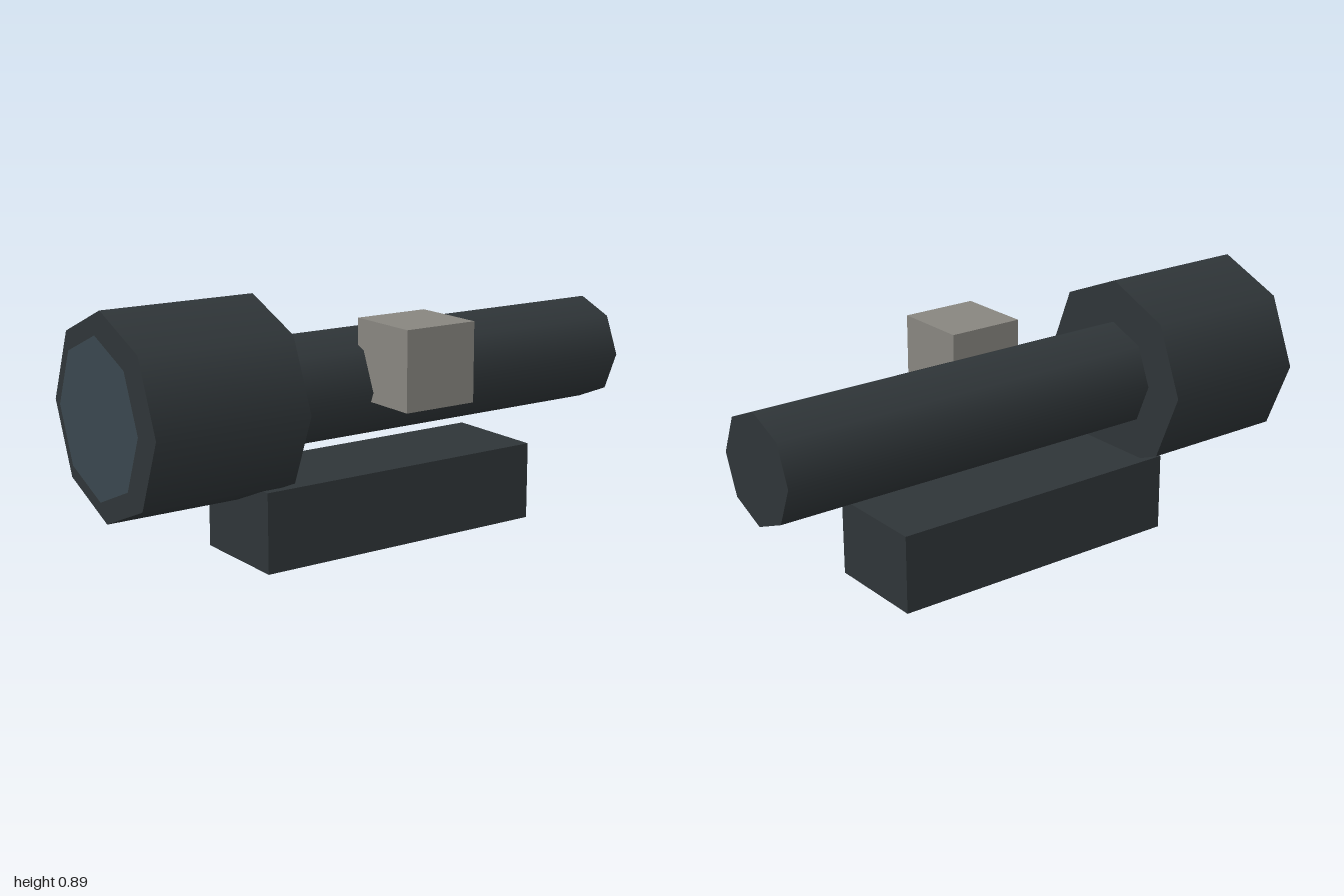
import * as THREE from 'three';

const SIDES = 8;
const AXIS_X = -0.018;
const AXIS_Y = 0.548;

export function createModel() {
  const group = new THREE.Group();
  const dark = new THREE.MeshStandardMaterial({ color: 0x2f3538 });
  const glass = new THREE.MeshStandardMaterial({ color: 0x3a474f, side: THREE.DoubleSide });
  const grey = new THREE.MeshStandardMaterial({ color: 0x888680 });

  const add = (name, geometry, material, x, y, z) => {
    const mesh = new THREE.Mesh(geometry, material);
    mesh.name = name;
    mesh.position.set(x, y, z);
    group.add(mesh);
  };

  // Eight-sided tube along z, smooth round its wall
  const addTube = (name, radius, zBack, zFront) => {
    const geometry = new THREE.CylinderGeometry(radius, radius, zFront - zBack, SIDES);
    geometry.rotateX(Math.PI / 2);
    add(name, geometry, dark, AXIS_X, AXIS_Y, (zBack + zFront) / 2);
  };

  // Long body and wide head
  addTube('barrel', 0.19, -1, 0.5);
  addTube('head', 0.34, 0.435, 0.98);

  // Flat lens just ahead of the head
  add('lens', new THREE.CircleGeometry(0.265, SIDES), glass, AXIS_X, AXIS_Y, 1);

  // Mounting block below
  add('mount', new THREE.BoxGeometry(0.375, 0.274, 1.09), dark, AXIS_X, 0.137, -0.04);

  // Cube knob on the left side
  add('sideKnob', new THREE.BoxGeometry(0.272, 0.272, 0.272), grey, 0.221, 0.651, -0.044);

  return group;
}
